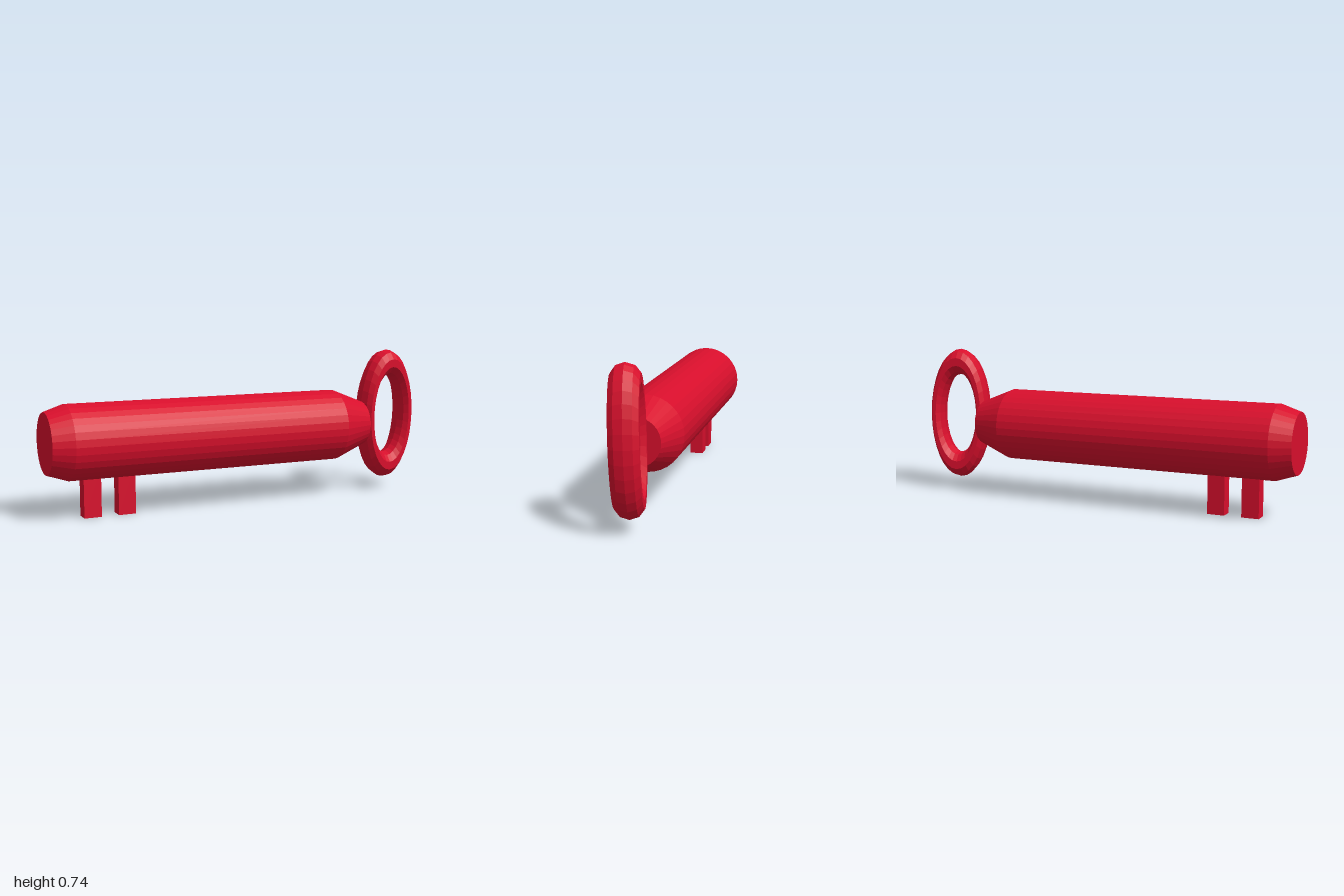
import * as THREE from 'three';

export function createModel() {
  const model = new THREE.Group();
  const material = new THREE.MeshStandardMaterial({ color: 0xd80f2c, flatShading: true });

  const add = (name, geometry, x, y, z) => {
    const mesh = new THREE.Mesh(geometry, material);
    mesh.name = name;
    mesh.position.set(x, y, z);
    model.add(mesh);
    return mesh;
  };

  // Thick shaft: bevelled tip, straight barrel and tapered collar, closed at both ends
  const profile = [
    [0, -1], [0.147, -1], [0.18, -0.9], [0.18, 0.515], [0.113, 0.685], [0, 0.685],
  ].map(([r, x]) => new THREE.Vector2(r, x));
  const shaft = new THREE.LatheGeometry(profile, 32);
  shaft.rotateZ(-Math.PI / 2);
  add('shaft', shaft, 0, 0.363, -0.001);

  // Oval handle ring, slightly turned and tipped
  const ring = new THREE.TorusGeometry(0.274, 0.067, 10, 32);
  ring.scale(0.47, 1, 1.03);
  add('handleRing', ring, 0.837, 0.402, -0.006).rotation.set(0.027, 0.14, 0);

  // Two square teeth under the tip
  for (const [i, x] of [-0.783, -0.613].entries()) {
    add(`tooth${i + 1}`, new THREE.BoxGeometry(0.085, 0.24, 0.068), x, 0.12, -0.01);
  }

  return model;
}
